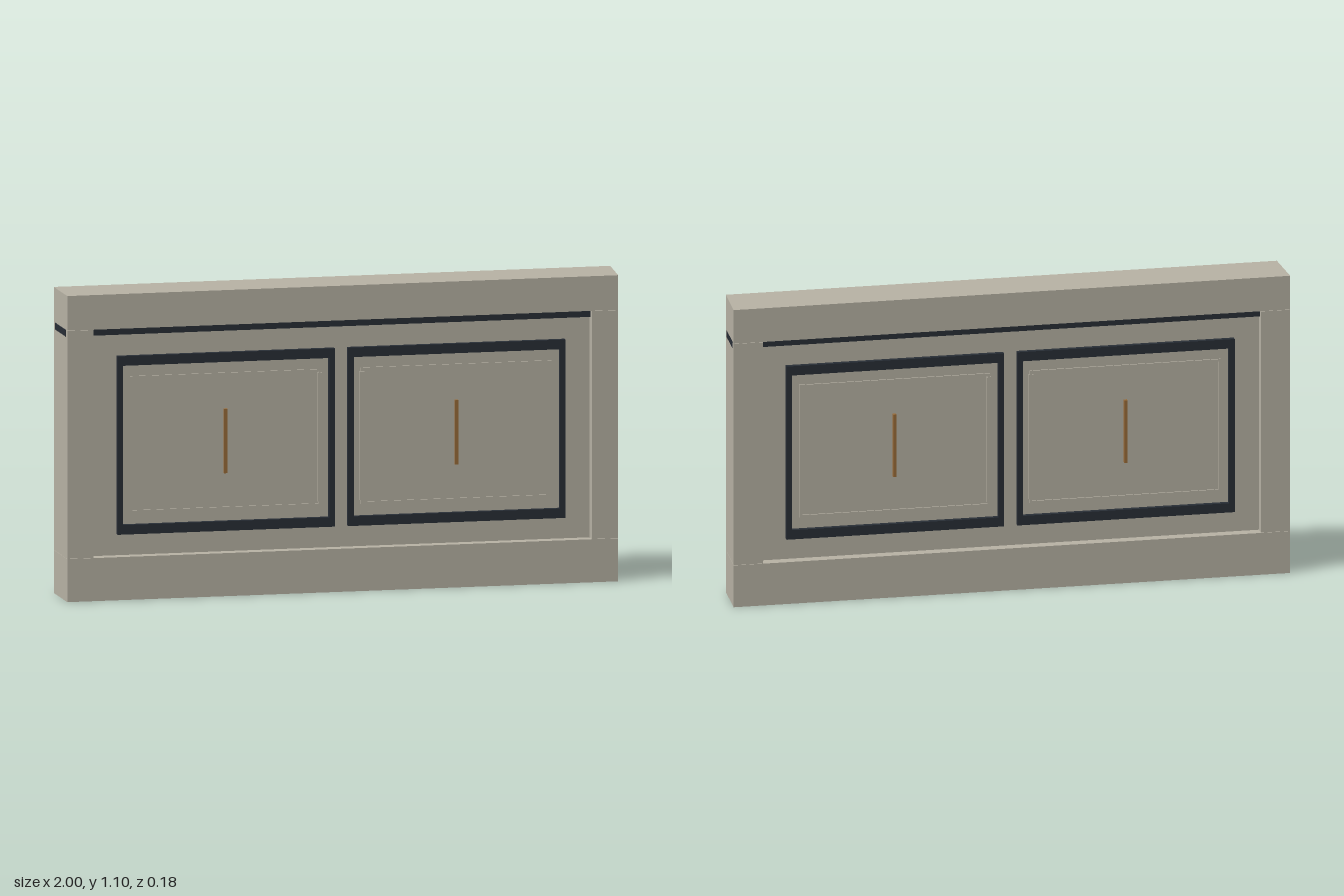
import * as THREE from 'three';

const stone = new THREE.MeshStandardMaterial({ color: 0xb8b3a5 });
const dark = new THREE.MeshStandardMaterial({ color: 0x282e36 });
const bronze = new THREE.MeshStandardMaterial({ color: 0x9a6c38 });

// Box given by its limits on each axis
function box(name, parent, material, [x0, x1], [y0, y1], [z0, z1]) {
  const geometry = new THREE.BoxGeometry(x1 - x0, y1 - y0, z1 - z0);
  geometry.translate((x0 + x1) / 2, (y0 + y1) / 2, (z0 + z1) / 2);
  const mesh = new THREE.Mesh(geometry, material);
  mesh.name = name;
  parent.add(mesh);
  return mesh;
}

// Slant the outer ends: the wall is slightly narrower at the front
function slantEnds(mesh) {
  const p = mesh.geometry.attributes.position;
  for (let i = 0; i < p.count; i++) {
    const x = p.getX(i);
    if (Math.abs(x) > 0.95) p.setX(i, x - Math.sign(x) * 0.01 * (p.getZ(i) + 0.092) / 0.184);
  }
  mesh.geometry.computeVertexNormals();
}

// Rectangular frame with separate side and top/bottom widths
function frame(name, parent, material, [x0, x1], [y0, y1], side, rail, z, depth) {
  const shape = new THREE.Shape();
  shape.moveTo(x0, y0).lineTo(x1, y0).lineTo(x1, y1).lineTo(x0, y1).closePath();
  const hole = new THREE.Path();
  hole.moveTo(x0 + side, y0 + rail).lineTo(x0 + side, y1 - rail)
    .lineTo(x1 - side, y1 - rail).lineTo(x1 - side, y0 + rail).closePath();
  shape.holes.push(hole);
  const geometry = new THREE.ExtrudeGeometry(shape, { depth, bevelEnabled: false });
  geometry.translate(0, 0, z);
  const mesh = new THREE.Mesh(geometry, material);
  mesh.name = name;
  parent.add(mesh);
}

// Decorated face: two framed panels, each with moulding and a slim bar
function decoratedFace() {
  const face = new THREE.Group();
  const z = 0.053;
  for (const s of [-1, 1]) {
    const span = (a, b) => (s > 0 ? [a, b] : [-b, -a]);
    frame('darkPanelFrame', face, dark, span(0.024, 0.805), [0.23, 0.868], 0.02, 0.034, z - 0.005, 0.023);
    frame('panelMoulding', face, stone, span(0.072, 0.757), [0.305, 0.793], 0.008, 0.008, z - 0.002, 0.007);
    box('innerMouldingStrip', face, stone, span(0.068, 0.084), [0.32, 0.78], [z - 0.002, z + 0.008]);
    box('bronzeBar', face, bronze, span(0.409, 0.421), [0.435, 0.665], [z - 0.004, z + 0.014]);
  }
  return face;
}

export function createModel() {
  const model = new THREE.Group();
  model.name = 'panelledWall';
  const full = [-0.092, 0.092];

  // Base, cap and end posts
  slantEnds(box('base', model, stone, [-1, 1], [0, 0.154], full));
  slantEnds(box('cap', model, stone, [-1, 1], [0.971, 1.095], full));
  slantEnds(box('leftPost', model, stone, [0.895, 1], [0.155, 0.97], full));
  slantEnds(box('rightPost', model, stone, [-1, -0.895], [0.155, 0.97], full));

  // Recessed core and the dark strip under the cap
  box('core', model, stone, [-0.91, 0.91], [0.14, 0.98], [-0.053, 0.053]);
  slantEnds(box('darkStrip', model, dark, [-1.0003, 1.0003], [0.946, 0.9705], [-0.072, 0.072]));

  // Same decoration on both sides
  const front = decoratedFace();
  front.name = 'frontFace';
  const back = decoratedFace();
  back.name = 'backFace';
  back.rotation.y = Math.PI;
  model.add(front, back);
  return model;
}
